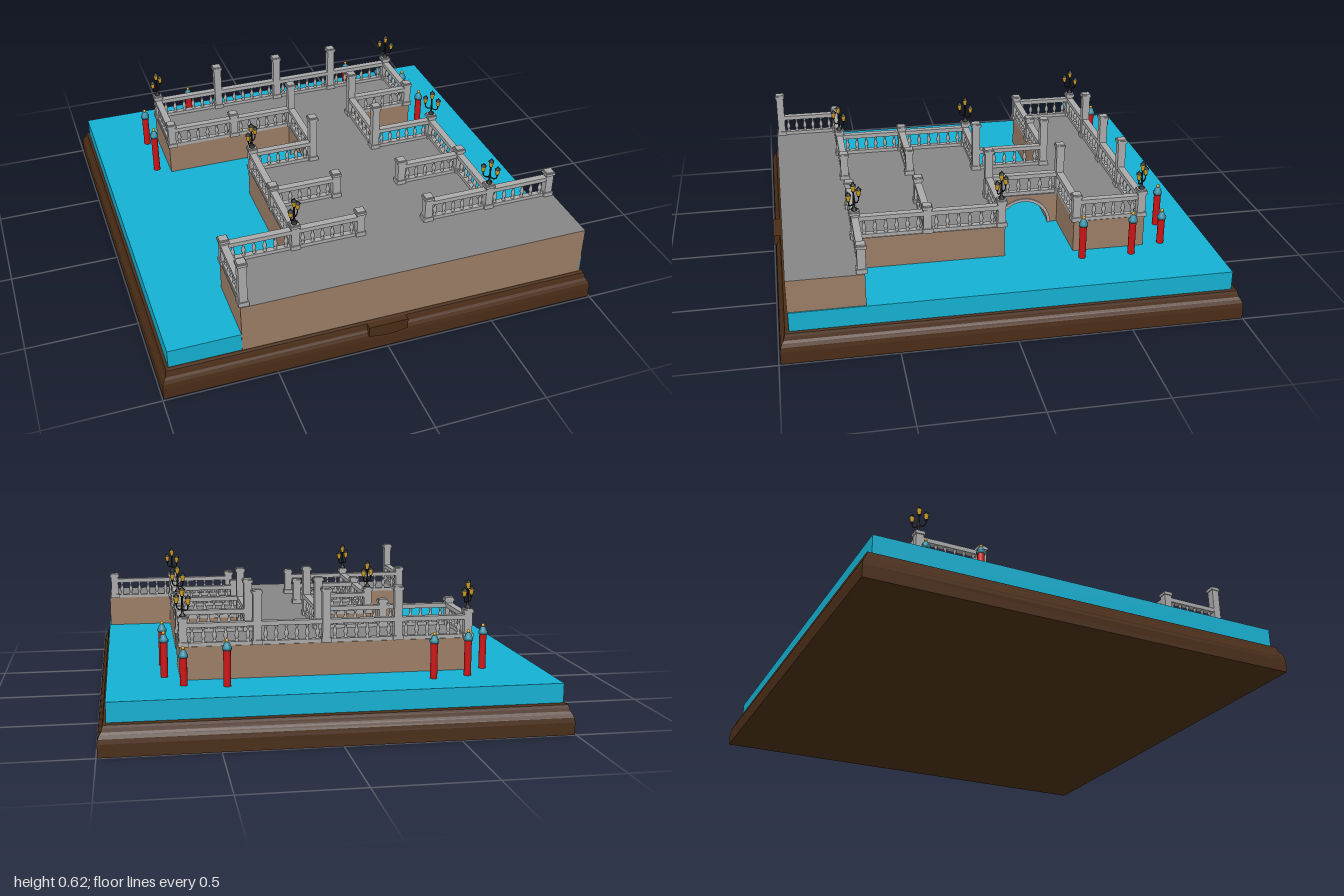
import * as THREE from 'three';

const mat = (color, extra = {}) => new THREE.MeshStandardMaterial({ color, ...extra });
const V = (x, y) => new THREE.Vector2(x, y);
const WATER_Y = 0.215, DECK_Y = 0.36, BASE_Y = 0.13;

export function createModel() {
  const model = new THREE.Group();
  const wood = mat(0x4a2d17, { flatShading: true });
  const brown = mat(0x9b7d66);
  const deck = mat(0x868686);
  const stone = mat(0xaaaaaa);
  const water = mat(0x14b0d2);
  const black = mat(0x151515);
  const gold = mat(0xd9a520);
  const red = mat(0xcc1414);
  const teal = mat(0x2e8ca3);

  const add = (parent, name, geometry, material, x = 0, y = 0, z = 0) => {
    const mesh = new THREE.Mesh(geometry, material);
    mesh.name = name;
    mesh.position.set(x, y, z);
    parent.add(mesh);
    return mesh;
  };
  const lathe = (points, sides) => new THREE.LatheGeometry(points.map(p => V(p[0], p[1])), sides);

  // Moulded square plinth: a four-sided lathe
  const profile = [[0, 0], [0.995, 0], [0.995, 0.055], [0.992, 0.075], [0.985, 0.09],
    [0.978, 0.1], [0.974, 0.115], [0.97, 0.127], [0.962, BASE_Y], [0, BASE_Y]];
  const plinth = new THREE.LatheGeometry(profile.map(p => V(p[0] * Math.SQRT2, p[1])), 4, Math.PI / 4);
  add(model, 'plinth', plinth, wood, 0, 0, -0.003);

  // Blank plaque on the plinth front
  const plaque = new THREE.Shape([V(-0.09, 0.128), V(-0.09, 0.08)]);
  plaque.quadraticCurveTo(0, 0.055, 0.09, 0.08);
  plaque.lineTo(0.09, 0.128);
  add(model, 'plaque', new THREE.ExtrudeGeometry(plaque, { depth: 0.04, bevelEnabled: false }), wood, 0, 0, 0.958);

  add(model, 'water', new THREE.BoxGeometry(1.915, WATER_Y - BASE_Y, 1.9), water,
    0, (WATER_Y + BASE_Y) / 2, 0);

  // Quay blocks: x0, x1, z0, z1
  const quays = {
    frontQuay: [-0.642, 0.952, 0.63, 0.952],
    middleQuay: [-0.325, 0.637, -0.012, 0.631],
    backQuay: [-0.642, 0.645, -0.645, -0.32],
  };
  for (const [name, [x0, x1, z0, z1]] of Object.entries(quays)) {
    const box = new THREE.BoxGeometry(x1 - x0, DECK_Y - BASE_Y, z1 - z0);
    add(model, name, box, [brown, brown, deck, brown, brown, brown],
      (x0 + x1) / 2, (DECK_Y + BASE_Y) / 2, (z0 + z1) / 2);
  }

  // Arched bridge, drawn sideways (u = -z) and extruded across x
  const bridge = new THREE.Group();
  bridge.name = 'bridge';
  model.add(bridge);
  const across = (shape, depth) => {
    const g = new THREE.ExtrudeGeometry(shape, { depth, bevelEnabled: false, curveSegments: 24 });
    return g.rotateY(Math.PI / 2);
  };
  const mid = 0.16, r = 0.118;
  const wall = new THREE.Shape([V(0, BASE_Y), V(mid - r, BASE_Y), V(mid - r, WATER_Y)]);
  wall.absarc(mid, WATER_Y, r, Math.PI, 0, true);
  for (const [u, v] of [[mid + r, BASE_Y], [0.33, BASE_Y], [0.33, DECK_Y - 0.004], [0, DECK_Y - 0.004]]) wall.lineTo(u, v);
  add(bridge, 'bridgeArch', across(wall, 0.36), brown, -0.02);
  add(bridge, 'bridgeDeck', new THREE.BoxGeometry(0.36, 0.004, 0.31), deck, 0.16, DECK_Y - 0.002, -0.166);
  const trim = new THREE.Shape();
  trim.absarc(mid, WATER_Y, r + 0.01, 0, Math.PI, false);
  trim.absarc(mid, WATER_Y, r - 0.004, Math.PI, 0, true);
  for (const x of [-0.026, 0.332]) add(bridge, 'archTrim', across(trim, 0.014), stone, x);

  // Balustrade spans between neighbouring posts
  const baluster = lathe([[0.008, 0], [0.008, 0.006], [0.005, 0.01], [0.01, 0.024],
    [0.009, 0.032], [0.0045, 0.05], [0.005, 0.056], [0.008, 0.06], [0.008, 0.066]], 8);
  const span = (x0, z0, x1, z1) => {
    const g = new THREE.Group();
    g.name = 'balustrade';
    g.position.set((x0 + x1) / 2, DECK_Y, (z0 + z1) / 2);
    g.rotation.y = -Math.atan2(z1 - z0, x1 - x0);
    const len = Math.hypot(x1 - x0, z1 - z0) - 0.03;
    add(g, 'bottomRail', new THREE.BoxGeometry(len, 0.016, 0.026), stone, 0, 0.008, 0);
    add(g, 'topRail', new THREE.BoxGeometry(len, 0.02, 0.032), stone, 0, 0.092, 0);
    const count = 6;
    for (let i = 0; i < count; i++) {
      add(g, 'baluster', baluster, stone, ((i + 0.5) / count - 0.5) * len, 0.016, 0);
    }
    model.add(g);
  };

  // Square post with a stepped cap
  const post = (x, z, top) => {
    const g = new THREE.Group();
    g.name = 'post';
    g.position.set(x, DECK_Y, z);
    const h = top - DECK_Y;
    add(g, 'postFoot', new THREE.BoxGeometry(0.046, 0.02, 0.046), stone, 0, 0.01, 0);
    add(g, 'postShaft', new THREE.BoxGeometry(0.036, h - 0.012, 0.036), stone, 0, (h - 0.012) / 2, 0);
    add(g, 'postCap', new THREE.BoxGeometry(0.046, 0.012, 0.046), stone, 0, h - 0.012, 0);
    add(g, 'postTop', new THREE.BoxGeometry(0.038, 0.006, 0.038), stone, 0, h - 0.003, 0);
    model.add(g);
  };

  // Each run lists the posts it passes through
  const L = -0.625, R = 0.63, ML = -0.308, MR = 0.62, BL = -0.005, BR = 0.32;
  const runs = [
    [[BL, -0.332], [ML, -0.332], [L, -0.332], [L, -0.628], [ML, -0.628], [0.01, -0.628],
      [0.312, -0.628], [R, -0.628], [R, -0.332], [BR, -0.332], [BR, 0.003], [MR, 0.003],
      [MR, 0.33], [MR, 0.642], [0.925, 0.642]],
    [[BL, -0.332], [BL, 0.003], [ML, 0.003], [ML, 0.33], [ML, 0.642], [L, 0.642], [L, 0.925]],
    [[ML, 0.33], [BL, 0.33]], [[MR, 0.33], [BR, 0.33]],
    [[ML, 0.642], [BL, 0.642]], [[MR, 0.642], [BR, 0.642]],
  ];
  const posts = new Map();
  for (const run of runs) {
    run.forEach((p, i) => {
      posts.set(p.join(), p);
      if (i) span(...run[i - 1], ...p);
    });
  }
  for (const [x, z] of posts.values()) {
    const backRow = z < -0.6 && Math.abs(x) < 0.5;
    const bridgeEnd = (x === BL || x === BR) && z < 0.1;
    post(x, z, backRow || bridgeEnd ? 0.6 : z > 0.9 ? 0.58 : 0.49);
  }

  // Three-lantern street lamps
  const pole = lathe([[0.014, 0], [0.014, 0.006], [0.006, 0.014], [0.004, 0.03], [0.006, 0.04], [0.004, 0.05], [0.004, 0.085]], 8);
  const glass = new THREE.CylinderGeometry(0.012, 0.007, 0.026, 8);
  const lid = lathe([[0.013, 0], [0.013, 0.003], [0.007, 0.009], [0.003, 0.011], [0.003, 0.016], [0, 0.018]], 8);
  const cup = new THREE.CylinderGeometry(0.008, 0.003, 0.008, 8);
  const arm = new THREE.TubeGeometry(new THREE.CatmullRomCurve3([
    new THREE.Vector3(0, 0.035, 0), new THREE.Vector3(0.016, 0.028, 0),
    new THREE.Vector3(0.03, 0.034, 0), new THREE.Vector3(0.033, 0.048, 0)]), 10, 0.003, 6);
  const lamp = (x, z) => {
    const g = new THREE.Group();
    g.name = 'streetLamp';
    g.position.set(x, 0.49, z);
    g.rotation.y = x < 0 ? Math.PI / 4 : -Math.PI / 4;
    add(g, 'lampPole', pole, black);
    for (const [lx, ly] of [[-0.033, 0.052], [0, 0.085], [0.033, 0.052]]) {
      add(g, 'lanternCup', cup, black, lx, ly, 0);
      add(g, 'lanternGlass', glass, gold, lx, ly + 0.016, 0);
      add(g, 'lanternLid', lid, black, lx, ly + 0.029, 0);
      if (lx) add(g, 'lampArm', arm, black).rotation.y = lx < 0 ? Math.PI : 0;
    }
    model.add(g);
  };
  for (const [x, z] of [[L, -0.628], [R, -0.628], [ML, 0.003], [MR, 0.003], [ML, 0.642], [MR, 0.642]]) lamp(x, z);

  // Mooring poles: x, z, height of the red shaft's top
  const cap = lathe([[0, 0], [0.02, 0], [0.021, 0.012], [0.014, 0.018], [0.015, 0.024], [0.007, 0.034], [0, 0.036]], 12);
  const moorings = [[-0.595, -0.745, 0.37], [-0.435, -0.775, 0.37], [-0.7, -0.625, 0.37], [-0.705, -0.37, 0.405],
    [0.455, -0.77, 0.37], [0.635, -0.73, 0.335], [0.71, -0.57, 0.37], [0.71, -0.345, 0.37]];
  for (const [x, z, top] of moorings) {
    const g = new THREE.Group();
    g.name = 'mooringPole';
    g.position.set(x, 0, z);
    add(g, 'poleShaft', new THREE.CylinderGeometry(0.016, 0.016, top - 0.18, 12), red, 0, (top + 0.18) / 2, 0);
    add(g, 'poleCap', cap, teal, 0, top, 0);
    add(g, 'poleFinial', new THREE.SphereGeometry(0.008, 10, 8), gold, 0, top + 0.04, 0);
    model.add(g);
  }
  return model;
}
